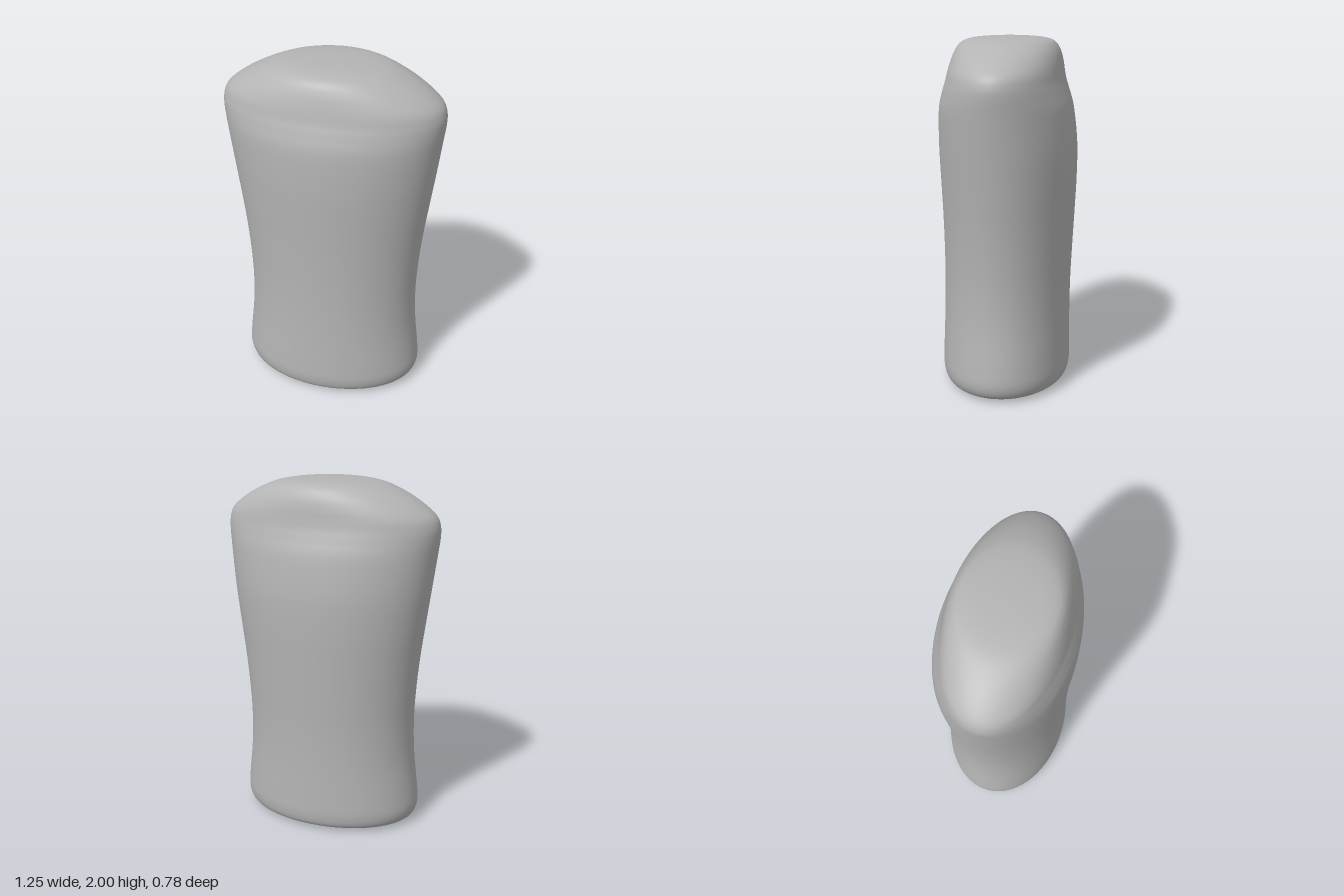
import * as THREE from 'three';

const SIDES = 96;
const RINGS = 150;

// Cross-section rows: height, half width, front depth, back depth
const sections = [
  [0.005, 0, 0.01, 0.01],
  [0.007, 0.2, 0.14, -0.12],
  [0.012, 0.38, 0.27, -0.25],
  [0.02, 0.475, 0.335, -0.315],
  [0.04, 0.515, 0.368, -0.347],
  [0.1, 0.535, 0.383, -0.36],
  [0.2, 0.528, 0.382, -0.36],
  [0.4, 0.506, 0.375, -0.358],
  [0.6, 0.5, 0.371, -0.361],
  [0.8, 0.51, 0.372, -0.37],
  [1.0, 0.53, 0.377, -0.38],
  [1.2, 0.557, 0.385, -0.389],
  [1.4, 0.585, 0.392, -0.389],
  [1.6, 0.612, 0.388, -0.366],
  [1.7, 0.625, 0.366, -0.338],
  [1.76, 0.623, 0.347, -0.32],
  [1.81, 0.602, 0.335, -0.311],
  [1.86, 0.545, 0.322, -0.304],
  [1.91, 0.465, 0.305, -0.292],
  [1.95, 0.38, 0.283, -0.272],
  [1.975, 0.305, 0.25, -0.245],
  [1.99, 0.21, 0.19, -0.19],
  [1.997, 0.11, 0.1, -0.1],
  [2, 0, 0, 0],
];

// Smooth lofted body from elliptical rings
function loft() {
  const spline = (pick) => new THREE.CatmullRomCurve3(sections.map(pick), false, 'catmullrom', 0.5);
  const front = spline(([y, w, f]) => new THREE.Vector3(w, y, f));
  const back = spline(([y, w, , b]) => new THREE.Vector3(w, y, b));
  const positions = [];
  const index = [];
  for (let i = 0; i <= RINGS; i++) {
    const f = front.getPoint(i / RINGS);
    const b = back.getPoint(i / RINGS);
    const centre = (f.z + b.z) / 2;
    const depth = (f.z - b.z) / 2;
    for (let j = 0; j < SIDES; j++) {
      const a = (j / SIDES) * Math.PI * 2;
      positions.push(f.x * Math.sin(a), f.y, centre + depth * Math.cos(a));
      if (i === RINGS) continue;
      const p = i * SIDES + j;
      const q = i * SIDES + ((j + 1) % SIDES);
      // Skip the collapsed triangles at both poles
      if (i > 0) index.push(p, q, q + SIDES);
      if (i < RINGS - 1) index.push(p, q + SIDES, p + SIDES);
      else continue;
      if (i === 0) continue;
    }
  }
  const geometry = new THREE.BufferGeometry();
  geometry.setAttribute('position', new THREE.Float32BufferAttribute(positions, 3));
  geometry.setIndex(index);
  geometry.computeVertexNormals();
  // Straight normals at the two poles
  const normal = geometry.attributes.normal;
  for (let j = 0; j < SIDES; j++) {
    normal.setXYZ(j, 0, -1, 0);
    normal.setXYZ(RINGS * SIDES + j, 0, 1, 0);
  }
  return geometry;
}

export function createModel() {
  const grey = new THREE.MeshStandardMaterial({ color: 0xb4b4b4 });
  grey.name = 'grey';
  const body = new THREE.Mesh(loft(), grey);
  body.name = 'body';
  const model = new THREE.Group();
  model.name = 'roundedBlock';
  model.add(body);
  return model;
}
